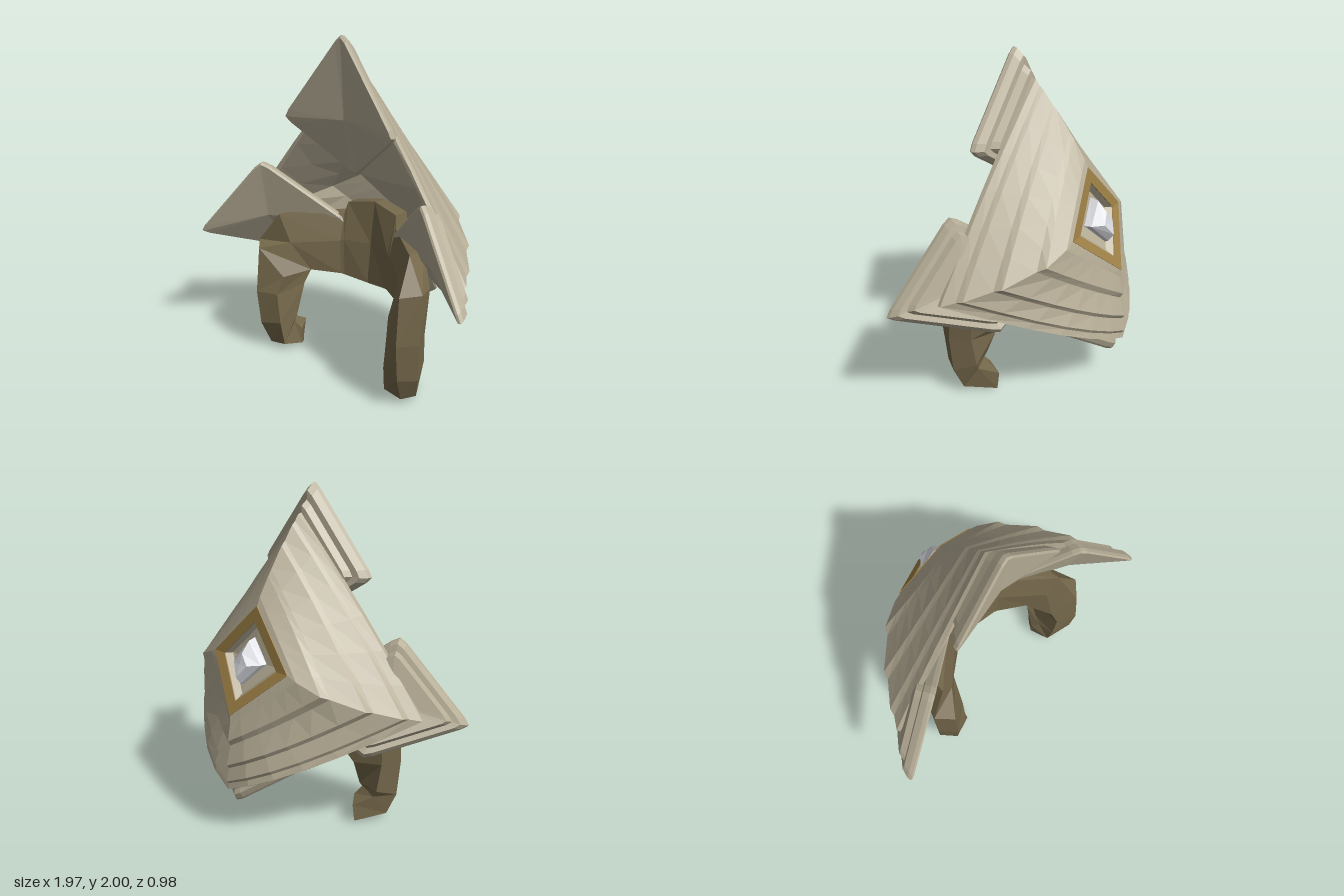
import * as THREE from 'three';

const V = (x, y, z) => new THREE.Vector3(x, y, z);
const mix = (a, b, t) => a.clone().lerp(b, t);
const lerp = THREE.MathUtils.lerp;
const mean = (ring) => ring.reduce((s, p) => s.add(p), V(0, 0, 0)).divideScalar(ring.length);

// Faceted skin over closed rings; a ring may be a single point. Faces are turned outward.
function loft(rings) {
  const n = Math.max(...rings.map((r) => r.length));
  const full = rings.map((r) => (r.length === 1 ? Array(n).fill(r[0]) : r));
  const tris = [];
  const tri = (a, b, c) => {
    const area = b.clone().sub(a).cross(c.clone().sub(a)).length();
    if (area > 1e-7) tris.push([a, b, c]);
  };
  for (let i = 0; i + 1 < full.length; i++) {
    for (let j = 0; j < n; j++) {
      const k = (j + 1) % n;
      tri(full[i][j], full[i][k], full[i + 1][k]);
      tri(full[i][j], full[i + 1][k], full[i + 1][j]);
    }
  }
  let volume = 0;
  for (const [a, b, c] of tris) volume += a.dot(b.clone().cross(c));
  const points = tris.flatMap(([a, b, c]) => (volume < 0 ? [a, c, b] : [a, b, c]));
  const geometry = new THREE.BufferGeometry().setFromPoints(points);
  geometry.computeVertexNormals();
  return geometry;
}

// Small kite plate: plain front, bevelled back with one raised tier, blunt corners
function kitePlate(tip, sideA, base, sideB, centre, back) {
  const corners = [tip, sideA, base, sideB];
  const outline = corners.flatMap((p, i) => {
    const prev = corners[(i + 3) % 4], next = corners[(i + 1) % 4];
    return [mix(p, prev, 0.09), mix(p, mix(prev, next, 0.5), 0.03), mix(p, next, 0.09)];
  });
  const ring = (scale, depth) => outline.map((p) => mix(centre, p, scale).addScaledVector(back, depth));
  return loft([[centre], ring(0.97, -0.02), ring(1, 0.08), ring(0.985, 0.28), ring(0.91, 0.6),
    ring(0.8, 0.62), ring(0.74, 0.95), [centre.clone().addScaledVector(back, 1.1)]]);
}

// Large curved shield: matching points on the rim and on the badge kite
const STEPS = 6;
const half = [];
for (let i = 0; i <= 2 * STEPS; i++) {
  const upper = i <= STEPS;
  const t = upper ? i / STEPS : i / STEPS - 1;
  const bulge = Math.sin(Math.PI * t);
  if (upper) {
    half.push({
      rim: V(0.83 * t + 0.02 * bulge, lerp(1.84, 0.77, t) + 0.015 * bulge, lerp(0.13, 0.25, t)),
      badge: V(0.29 * t, lerp(1.37, 1.05, t), lerp(-0.23, -0.29, t)),
      power: lerp(1.2, 1.8, t), low: t ** 3,
    });
  } else {
    const x = 1 - t;
    half.push({
      rim: V(0.83 * x, lerp(0.77, 0.3, t) - 0.03 * bulge, -0.465 + 0.715 * x ** 1.9),
      badge: V(0.29 * x, lerp(1.05, 0.77, t), lerp(-0.29, -0.455, t)),
      power: lerp(1.8, 1, t), low: 1,
    });
  }
}
const flip = (p) => V(-p.x, p.y, p.z);
const spokes = [...half, ...half.slice(1, -1).reverse().map((s) => ({ ...s, rim: flip(s.rim), badge: flip(s.badge) }))];
const badgeCentre = V(0, 1.05, -0.29);

function shieldRing(q, lift, lowLift = 0) {
  return spokes.map(({ rim, badge, power, low }) => {
    const p = mix(badge, rim, q);
    p.z = lerp(badge.z, rim.z, q ** power);
    const side = p.x / 0.83;
    return p.addScaledVector(V(side * 0.8, 0, -1 + 0.5 * Math.abs(side)), lift + lowLift * low);
  });
}
const badgeRing = (scale, lift) => spokes.map(({ badge }) => mix(badgeCentre, badge, scale).add(V(0, 0, -lift)));

function shieldGeometry() {
  return loft([
    [badgeCentre.clone().add(V(0, 0, 0.08))],
    shieldRing(0, -0.08), shieldRing(0.35, -0.07), shieldRing(0.7, -0.06), shieldRing(0.96, -0.035),
    shieldRing(1, 0), shieldRing(0.985, 0.022), shieldRing(0.91, 0.016),
    shieldRing(0.87, 0.022, 0.01), shieldRing(0.7, 0.012), shieldRing(0.65, 0.018, 0.014),
    shieldRing(0.4, 0.006, -0.006), shieldRing(0.33, 0.005, 0.015),
    shieldRing(0.1, 0.002), badgeRing(1, 0),
    badgeRing(0.72, 0), badgeRing(0.62, -0.035), [badgeCentre.clone().add(V(0, 0, 0.03))],
  ]);
}

// Clamp sections from middle to foot: top front, ridge, lower front, lower back, top back
const clampHalf = [
  [[0, 0.98, -0.04], [0, 0.72, 0], [0, 0.475, 0.03], [0, 0.48, -0.12], [0, 0.97, -0.14]],
  [[0.185, 0.945, -0.01], [0.17, 0.72, 0.05], [0.16, 0.495, 0.06], [0.16, 0.495, -0.09], [0.185, 0.94, -0.11]],
  [[0.2, 0.87, 0.01], [0.19, 0.71, 0.06], [0.18, 0.5, 0.07], [0.18, 0.5, -0.08], [0.2, 0.87, -0.1]],
  [[0.5, 0.87, 0.27], [0.42, 0.7, 0.26], [0.33, 0.52, 0.18], [0.34, 0.525, 0.02], [0.49, 0.86, 0.13]],
  [[0.628, 0.69, 0.32], [0.54, 0.68, 0.41], [0.41, 0.5, 0.34], [0.41, 0.49, 0.08], [0.59, 0.68, 0.2]],
  [[0.628, 0.4, 0.34], [0.545, 0.4, 0.44], [0.43, 0.39, 0.38], [0.42, 0.39, 0.15], [0.575, 0.4, 0.22]],
  [[0.615, 0.17, 0.33], [0.54, 0.18, 0.42], [0.41, 0.2, 0.38], [0.415, 0.22, 0.22], [0.56, 0.22, 0.2]],
  [[0.575, 0.04, 0.29], [0.52, 0.03, 0.36], [0.4, 0.05, 0.36], [0.4, 0.17, 0.27], [0.53, 0.17, 0.21]],
  [[0.46, 0.01, 0.125], [0.41, 0, 0.18], [0.37, 0.02, 0.235], [0.37, 0.12, 0.23], [0.45, 0.12, 0.115]],
].map((section) => section.map((p) => V(...p)));

function clampGeometry() {
  const mirrored = clampHalf.slice(1).reverse().map((section) => section.map(flip));
  const rings = [...mirrored, ...clampHalf];
  return loft([[mean(rings[0])], ...rings, [mean(rings[rings.length - 1])]]);
}

// Gem: four-sided crystal with a flat top
function gemGeometry() {
  const base = [V(0, 1.19, -0.25), V(0.11, 1.06, -0.27), V(0, 0.93, -0.35), V(-0.11, 1.06, -0.27)];
  const waist = [V(0, 1.18, -0.3), V(0.1, 1.06, -0.31), V(0, 0.94, -0.37), V(-0.1, 1.06, -0.31)];
  const top = [V(0, 1.12, -0.355), V(0.05, 1.06, -0.37), V(0, 0.99, -0.405), V(-0.05, 1.06, -0.37)];
  return loft([[mean(base)], base, waist, top, [mean(top)]]);
}

export function createModel() {
  const paint = (name, color) => {
    const material = new THREE.MeshStandardMaterial({ color });
    material.name = name;
    return material;
  };
  const bone = paint('bone', 0xb6ad96);
  const brown = paint('brown', 0x75684b);
  const gold = paint('gold', 0x9c7f45);
  const white = paint('gem white', 0xd6d7dc);

  const model = new THREE.Group();
  const add = (name, geometry, material) => {
    const mesh = new THREE.Mesh(geometry, material);
    mesh.name = name;
    model.add(mesh);
  };

  add('shield', shieldGeometry(), bone);
  add('badgeFrame', loft([badgeRing(1, -0.003), badgeRing(1, 0.006), badgeRing(0.72, 0.006),
    badgeRing(0.72, -0.003), badgeRing(1, -0.003)]), gold);
  add('gem', gemGeometry(), white);
  add('clamp', clampGeometry(), brown);

  // Small plates around the shield
  add('topPlate', kitePlate(V(0, 2.015, 0.25), V(0.41, 1.5, 0.3), V(0, 1.185, 0.13), V(-0.41, 1.5, 0.3),
    V(0, 1.53, 0.23), V(0, 0, -0.12)), bone);
  add('bottomPlate', kitePlate(V(0, 0.19, -0.415), V(0.42, 0.51, -0.11), V(0, 0.75, -0.33), V(-0.42, 0.51, -0.11),
    V(0, 0.5, -0.33), V(0, 0.04, -0.07)), bone);
  for (const [name, s] of [['leftPlate', 1], ['rightPlate', -1]]) {
    add(name, kitePlate(V(s * 0.99, 0.7, 0.5), V(s * 0.595, 1.2, 0.32), V(s * 0.17, 0.82, 0.01), V(s * 0.6, 0.535, 0.01),
      V(s * 0.62, 0.83, 0.25), V(s * 0.04, 0.03, -0.1)), bone);
  }
  return model;
}
